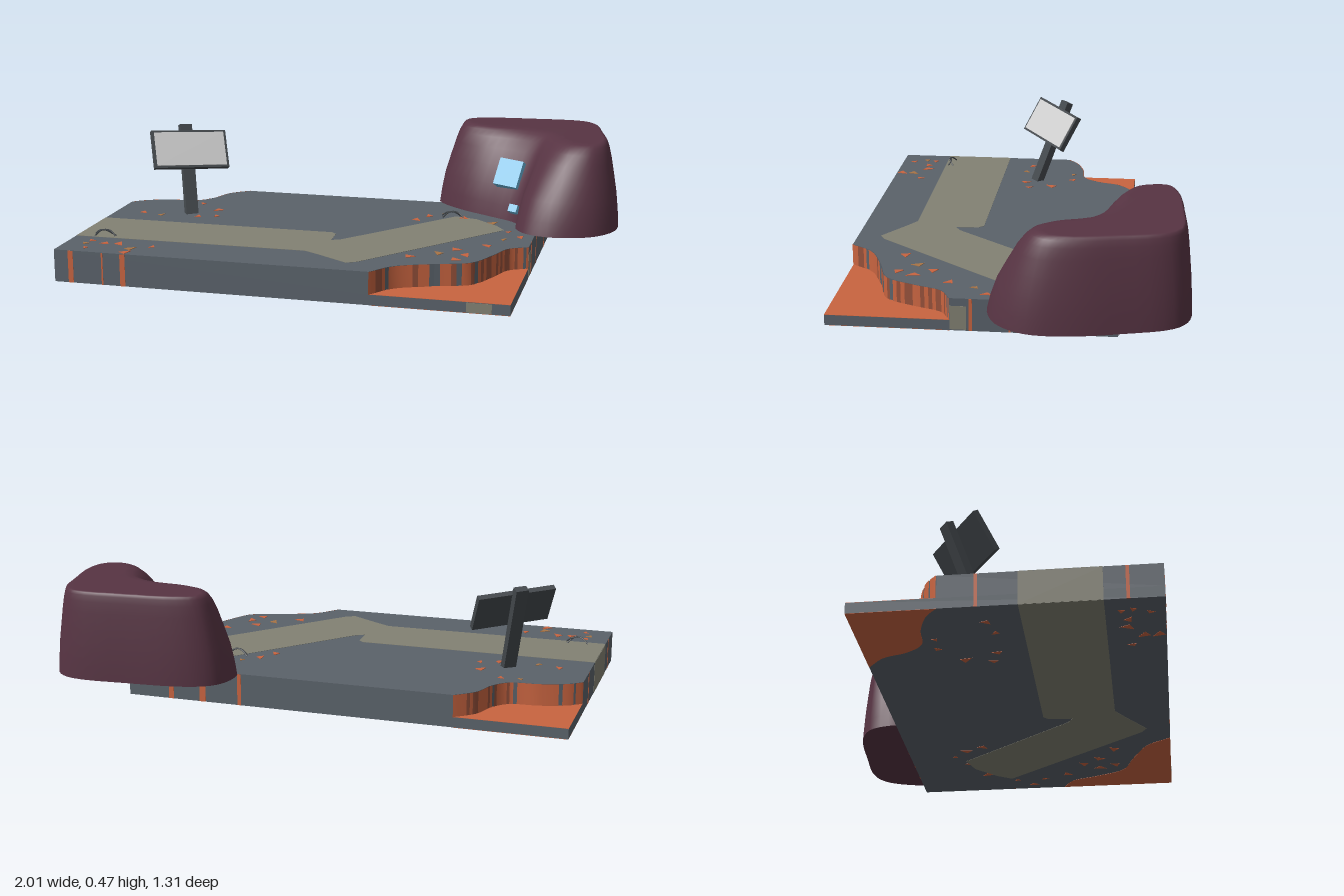
import * as THREE from 'three';

const mat = (name, color, side = THREE.FrontSide) => {
  const m = new THREE.MeshStandardMaterial({ color, side });
  m.name = name;
  return m;
};

export function createModel() {
  const stone = mat('slate grey', 0x5a626a);
  const sand = mat('path olive', 0x828173);
  const orange = mat('clay orange', 0xc86440, THREE.DoubleSide);
  const rust = mat('rust brown', 0x94503a, THREE.DoubleSide);
  const maroon = mat('rock maroon', 0x573443);
  const blue = mat('crystal blue', 0x6cb8de);
  const dark = mat('charcoal', 0x44494d);
  const pale = mat('board grey', 0xcfcfcf);
  const speckTan = mat('speck tan', 0xa87446);

  const model = new THREE.Group();
  const add = (name, geo, material, parent = model) => {
    const m = new THREE.Mesh(geo, material);
    m.name = name;
    parent.add(m);
    return m;
  };
  let seed = 7;
  const rnd = () => (seed = (seed * 16807) % 2147483647) / 2147483647;

  // Horizontal slab from [x, z] points, between two heights
  const layer = (name, pts, y0, y1, material) => {
    const shape = new THREE.Shape(pts.map(([x, z]) => new THREE.Vector2(x, -z)));
    const geo = new THREE.ExtrudeGeometry(shape, { depth: y1 - y0, bevelEnabled: false });
    geo.rotateX(-Math.PI / 2).translate(0, y0, 0);
    return add(name, geo, material);
  };
  const curve = (pts, n) => new THREE.CatmullRomCurve3(pts.map(([x, z]) => new THREE.Vector3(x, 0, z)))
    .getPoints(n).map((p) => [p.x, p.z]);

  // Ground: a full lower layer, and an upper layer with two corners broken away
  const L = -1, R = 0.705, B = -0.405, F = 0.65, TOP = 0.124, STEP = 0.04;
  const N = 44;
  const frontCut = curve([[R, 0.195], [0.635, 0.235], [0.59, 0.34], [0.53, 0.45], [0.4, 0.5], [0.27, 0.56], [0.2, F]], N);
  const backCut = curve([[L, -0.1], [-0.95, -0.14], [-0.85, -0.175], [-0.74, -0.19], [-0.685, -0.25], [-0.65, -0.34], [-0.58, B]], N);
  layer('lowerGround', [[L, B], [R, B], [R, F], [L, F]], 0.001, STEP, stone);
  layer('upperGround', [[R, B], ...frontCut, [L, F], ...backCut], STEP, TOP, stone);

  // Orange corner floors, also showing underneath
  [['front', frontCut, [R, F]], ['back', backCut, [L, B]]].forEach(([side, cut, corner]) => {
    layer(side + 'CornerFloor', [...cut, corner], STEP, STEP + 0.001, orange);
    layer(side + 'CornerUnderside', [...cut, corner], 0, 0.001, orange);
    // Broken wall with vertical streaks
    const wall = new THREE.PlaneGeometry(1, 1, N, 1);
    const off = side === 'front' ? 0.002 : -0.002;
    const pos = wall.attributes.position;
    for (let i = 0; i < pos.count; i++) {
      const [x, z] = cut[i % (N + 1)];
      pos.setXYZ(i, x + (i % (N + 1) === 0 || i % (N + 1) === N ? 0 : off), i <= N ? TOP : STEP, z + off);
    }
    wall.computeVertexNormals();
    for (let i = 0; i < N; i++) {
      const r = rnd();
      wall.addGroup(i * 6, 6, r < 0.68 ? 0 : r < 0.88 ? 1 : 2);
    }
    add(side + 'CornerWall', wall, [orange, rust, stone]);
  });

  // Bent path on both faces and down the edge
  const path = [[L, 0.17], [-0.06, 0.17], [-0.04, 0.19], [-0.035, 0.28], [0, 0.26], [0.3, -0.11], [0.36, -0.185],
    [0.45, -0.16], [0.54, -0.08], [0.58, -0.02], [0.13, 0.54], [0.095, 0.56], [-0.03, 0.48], [-0.09, 0.445], [L, 0.45]];
  layer('pathTop', path, TOP, TOP + 0.001, sand);
  layer('pathUnderside', path, 0, 0.001, sand);
  const patch = (name, x, y, z, w, h, d, m) => add(name, new THREE.BoxGeometry(w, h, d), m).position.set(x, y, z);
  patch('pathEdge', L, 0.062, 0.31, 0.002, 0.122, 0.28, sand);
  patch('pathFrontEdge', 0.595, 0.02, F, 0.09, 0.036, 0.002, sand);
  patch('pathSideEdge', R, 0.05, 0.165, 0.002, 0.09, 0.06, sand);

  // Orange streaks on the ground edges
  [[-0.935, 0.02], [-0.81, 0.006], [-0.73, 0.02]].forEach(([x, w]) => patch('frontStreak', x, 0.062, F, w, 0.122, 0.002, orange));
  [[0.12, 0.012], [-0.02, 0.008], [-0.265, 0.012]].forEach(([z, w]) => patch('sideStreak', R, 0.062, z, 0.002, 0.122, w, orange));
  [[0.53, 0.02], [0.4, 0.025], [0.25, 0.015]].forEach(([x, w]) => patch('backStreak', x, 0.062, B, w, 0.122, 0.002, orange));
  [[0.03, 0.012], [0.53, 0.012]].forEach(([z, w]) => patch('endStreak', L, 0.062, z, 0.002, 0.122, w, orange));

  // Scattered chips on both faces
  [[-0.92, 0.54], [-0.9, 0.6], [-0.85, 0.53], [-0.79, 0.52], [-0.73, 0.57], [-0.73, 0.62], [-0.66, 0.53], [-0.91, 0.5],
    [-0.77, -0.14], [-0.7, -0.14], [-0.65, 0.06], [-0.58, 0.04], [-0.8, 0.07], [-0.6, -0.05], [-0.88, 0.05],
    [0.3, 0.42], [0.39, 0.36], [0.45, 0.29], [0.5, 0.36], [0.55, 0.22], [0.6, 0.12], [0.66, 0.07], [0.47, 0.42],
    [0.25, -0.17], [0.31, -0.22], [0.4, -0.17], [0.22, -0.1], [0.6, 0.0], [0.52, -0.12]].forEach(([x, z], i) => {
    const a = rnd() * 6.28, s = 0.012 + rnd() * 0.012;
    const tri = [0, 2, 3.6].map((t) => [x + Math.cos(a + t) * s, z + Math.sin(a + t) * s * 1.2]);
    layer('chip', tri, TOP, TOP + 0.002, i % 4 ? orange : speckTan);
    layer('chipUnderside', tri, 0, 0.001, orange);
  });

  // Rock: base and top outlines [base x, base z, top x, top z] joined by a rounded profile
  const outline = [[0.25, -0.42, 0.36, -0.46], [0.27, -0.56, 0.34, -0.56], [0.36, -0.62, 0.42, -0.6], [0.6, -0.65, 0.6, -0.62],
    [0.82, -0.653, 0.81, -0.62], [0.9, -0.6, 0.87, -0.57], [0.96, -0.43, 0.91, -0.42], [1, -0.25, 0.94, -0.26],
    [0.995, -0.1, 0.93, -0.17], [0.92, 0.005, 0.89, -0.13], [0.78, 0.05, 0.82, -0.14], [0.67, 0.02, 0.77, -0.2],
    [0.62, -0.05, 0.74, -0.28], [0.61, -0.13, 0.7, -0.34], [0.5, -0.21, 0.6, -0.39], [0.36, -0.3, 0.46, -0.41]];
  const ring = (k) => new THREE.CatmullRomCurve3(outline.map((o) => new THREE.Vector3(o[k], 0, o[k + 1])), true);
  const lower = ring(0), upper = ring(2), S = 64;
  const profile = [[0.126, 0], [0.18, 0.07], [0.25, 0.2], [0.32, 0.4], [0.38, 0.58], [0.42, 0.74], [0.443, 0.88], [0.453, 1], [0.456, 1.15]];
  const verts = [], faces = [];
  const level = ([y, f]) => {
    for (let i = 0; i < S; i++) {
      const p = lower.getPoint(i / S).lerp(upper.getPoint(i / S), f);
      verts.push(p.x, y, p.z);
    }
  };
  profile.forEach(level);
  for (let j = 0; j < profile.length - 1; j++) {
    for (let i = 0; i < S; i++) {
      const a = j * S + i, b = j * S + (i + 1) % S;
      faces.push(a, a + S, b, b, a + S, b + S);
    }
  }
  const cap = (start, up) => {
    const at = (i) => new THREE.Vector2(verts[(start + i) * 3], verts[(start + i) * 3 + 2]);
    const pts = Array.from({ length: S }, (_, i) => at(i));
    THREE.ShapeUtils.triangulateShape(pts, []).forEach(([a, b, c]) => {
      const facesDown = pts[b].clone().sub(pts[a]).cross(pts[c].clone().sub(pts[a])) > 0;
      faces.push(...(facesDown === up ? [a, c, b] : [a, b, c]).map((i) => i + start));
    });
  };
  cap((profile.length - 1) * S, true);
  level(profile[0]);
  cap(profile.length * S, false);
  const rock = new THREE.BufferGeometry();
  rock.setAttribute('position', new THREE.Float32BufferAttribute(verts, 3));
  rock.setIndex(faces);
  rock.computeVertexNormals();
  add('rock', rock, maroon);

  // Blue crystals set into the inner slope of the rock
  const crystal = (name, x, y, z, w, h, d) => {
    const m = add(name, new THREE.BoxGeometry(w, h, d), blue);
    m.position.set(x, y, z);
    m.rotation.set(-0.5, -0.2, -0.2);
  };
  crystal('largeCrystal', 0.57, 0.295, -0.24, 0.1, 0.11, 0.07);
  crystal('smallCrystal', 0.6, 0.18, -0.14, 0.035, 0.03, 0.04);

  // Leaning sign: board in its own tilted frame
  const u = new THREE.Vector3(0.25, -0.02, -0.18).normalize();
  const n = u.clone().cross(new THREE.Vector3(-0.04, 0.14, -0.075)).normalize();
  const sign = new THREE.Group();
  sign.name = 'signBoard';
  sign.setRotationFromMatrix(new THREE.Matrix4().makeBasis(u, n.clone().cross(u), n));
  sign.position.set(-0.715, 0.373, -0.045);
  model.add(sign);
  add('boardBack', new THREE.BoxGeometry(0.31, 0.16, 0.022), dark, sign);
  add('boardFace', new THREE.BoxGeometry(0.29, 0.142, 0.006), pale, sign).position.z = 0.011;

  // Sign post
  const foot = new THREE.Vector3(-0.69, 0.11, 0.02), head = new THREE.Vector3(-0.757, 0.462, -0.108);
  const axis = head.clone().sub(foot), len = axis.length();
  axis.normalize();
  const front = u.clone().cross(axis).normalize();
  const post = add('signPost', new THREE.BoxGeometry(0.05, len, 0.03), dark);
  post.setRotationFromMatrix(new THREE.Matrix4().makeBasis(axis.clone().cross(front), axis, front));
  post.position.copy(foot).lerp(head, 0.5);

  // Small curled twigs on the ground
  [[-0.89, 0.425], [0.35, -0.17]].forEach(([x, z]) => [-1, 1].forEach((s) => {
    const twig = new THREE.CatmullRomCurve3([[-0.04, 0, 0.01 * s], [-0.01, 0.025, 0.01], [0.02, 0.022, 0], [0.045, 0.004, 0.012 * s]]
      .map(([a, b, c]) => new THREE.Vector3(x + a * s, TOP + b, z + c)));
    add('twig', new THREE.TubeGeometry(twig, 10, 0.003, 5), dark);
  }));
  return model;
}
